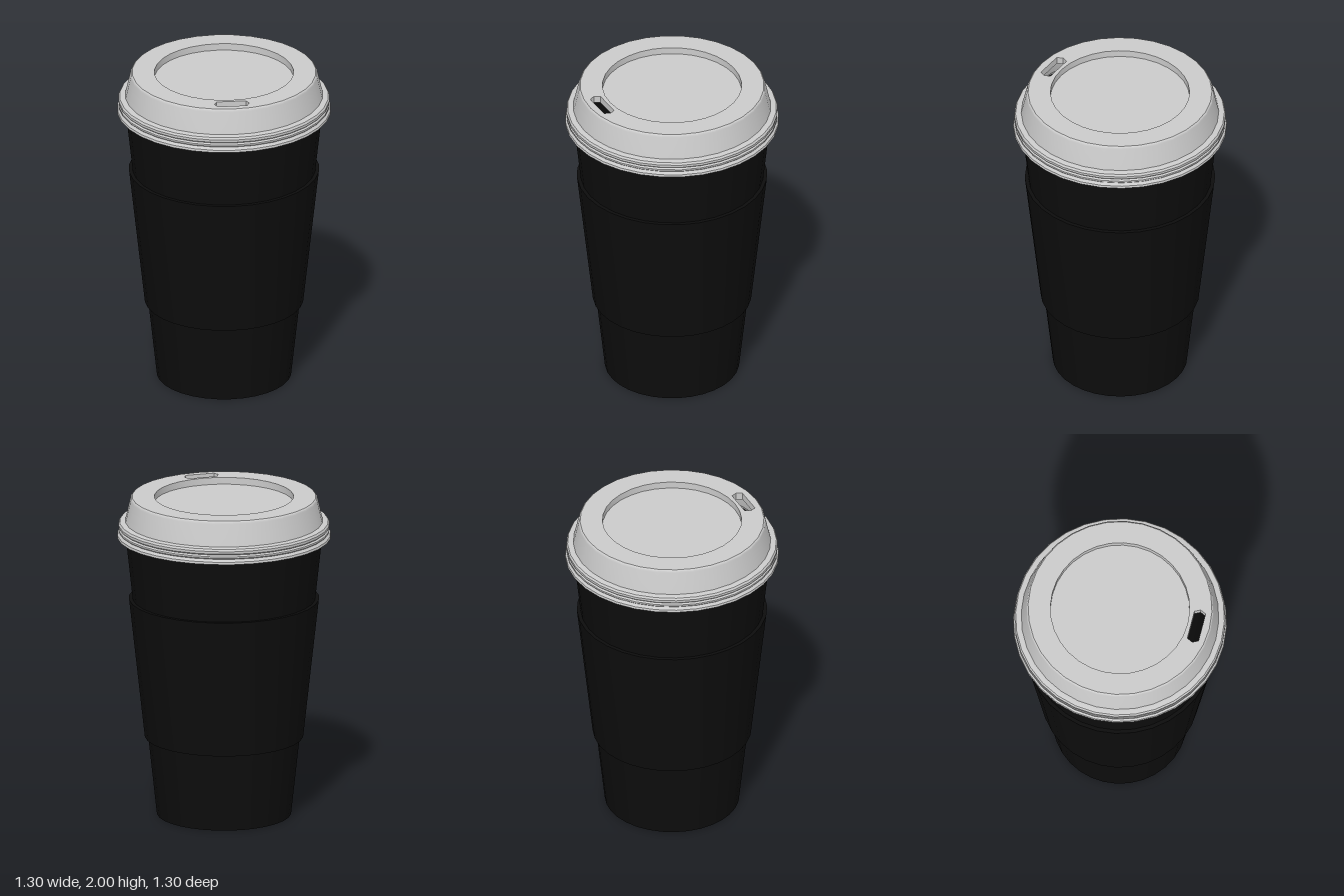
import * as THREE from 'three';
import { toCreasedNormals } from 'three/addons/utils/BufferGeometryUtils.js';

const SIDES = 32;
const black = new THREE.MeshStandardMaterial({ color: 0x0d0d0d });
const grey = new THREE.MeshStandardMaterial({ color: 0xcccccc });

// Revolved part; the profile runs counter-clockwise in (radius, height)
function revolve(name, profile, material) {
  const points = profile.map(([r, y]) => new THREE.Vector2(r, y));
  const geometry = toCreasedNormals(new THREE.LatheGeometry(points, SIDES), 0.6);
  const mesh = new THREE.Mesh(geometry, material);
  mesh.name = name;
  return mesh;
}

// Polygon whose corners line up with the revolved parts
function circlePoints(r) {
  return Array.from({ length: SIDES }, (_, i) => {
    const a = (i / SIDES) * Math.PI * 2;
    return new THREE.Vector2(r * Math.cos(a), r * Math.sin(a));
  });
}

export function createModel() {
  const model = new THREE.Group();
  model.name = 'takeawayCup';

  // Hollow tapered cup with a raised floor
  model.add(revolve('cup', [
    [0, 0.17], [0.405, 0.17], [0.395, 0], [0.41, 0],
    [0.6, 1.75], [0.606, 1.81], [0.585, 1.81], [0.412, 0.19], [0, 0.19],
  ], black));

  // Sleeve wrapped around the middle
  model.add(revolve('sleeve', [
    [0.46, 0.49], [0.484, 0.49], [0.58, 1.36], [0.556, 1.36], [0.46, 0.49],
  ], black));

  const lid = new THREE.Group();
  lid.name = 'lid';
  model.add(lid);

  // Lid skirt: flange, two rolled beads and the sloping wall
  lid.add(revolve('lidSkirt', [
    [0.637, 1.75], [0.652, 1.75], [0.65, 1.765], [0.64, 1.774],
    [0.636, 1.78], [0.643, 1.787], [0.643, 1.797], [0.634, 1.806],
    [0.643, 1.814], [0.644, 1.83], [0.636, 1.843], [0.618, 1.847],
    [0.602, 1.848], [0.571, 1.982], [0.568, 1.993], [0.56, 2],
    [0.555, 1.97], [0.585, 1.84], [0.61, 1.82], [0.62, 1.79], [0.637, 1.75],
  ], grey));

  // Flat top ring with the drinking slot cut through it
  const ring = new THREE.Shape(circlePoints(0.56));
  ring.holes.push(new THREE.Path(circlePoints(0.424)));
  ring.holes.push(new THREE.Path([
    [-0.107, -0.48], [-0.09, -0.445], [0.09, -0.445],
    [0.107, -0.48], [0.09, -0.515], [-0.09, -0.515],
  ].map(([x, y]) => new THREE.Vector2(x, y))));
  const ringGeometry = new THREE.ExtrudeGeometry(ring, { depth: 0.045, bevelEnabled: false });
  ringGeometry.rotateX(-Math.PI / 2);
  const top = new THREE.Mesh(toCreasedNormals(ringGeometry, 0.6), grey);
  top.name = 'lidTop';
  top.position.y = 1.955;
  lid.add(top);

  // Sunken centre panel
  lid.add(revolve('lidPanel', [
    [0, 1.94], [0.43, 1.94], [0.43, 1.957], [0, 1.957],
  ], grey));

  return model;
}
